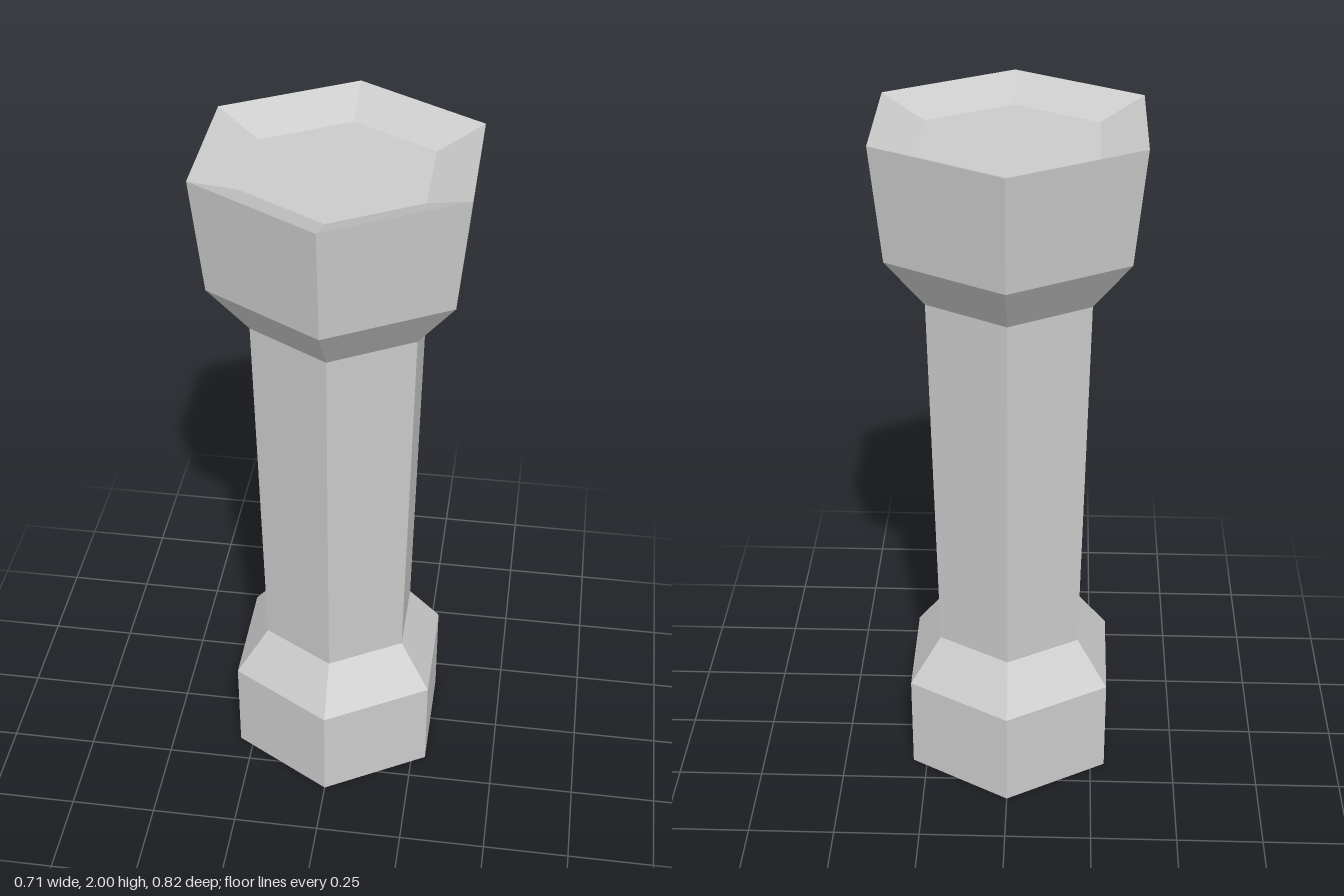
import * as THREE from 'three';

const SIDES = 6;

export function createModel() {
  const model = new THREE.Group();
  model.name = 'hexagonalPillar';
  const material = new THREE.MeshStandardMaterial({ color: 0xcccccc, flatShading: true });

  // Six-sided turned part from [radius, height] pairs, listed bottom to top
  const addPart = (name, profile) => {
    const points = profile.map(([r, y]) => new THREE.Vector2(r, y));
    const mesh = new THREE.Mesh(new THREE.LatheGeometry(points, SIDES), material);
    mesh.name = name;
    model.add(mesh);
  };

  // Foot block with a closed underside and a sloping shoulder
  addPart('base', [[0, 0], [0.337, 0], [0.337, 0.295], [0.235, 0.43]]);

  // Slightly flaring column
  addPart('shaft', [[0.235, 0.43], [0.258, 1.53]]);

  // Flared head with a shallow sunken top
  addPart('head', [[0.258, 1.53], [0.374, 1.677], [0.408, 2], [0.271, 1.947], [0, 1.947]]);

  return model;
}
